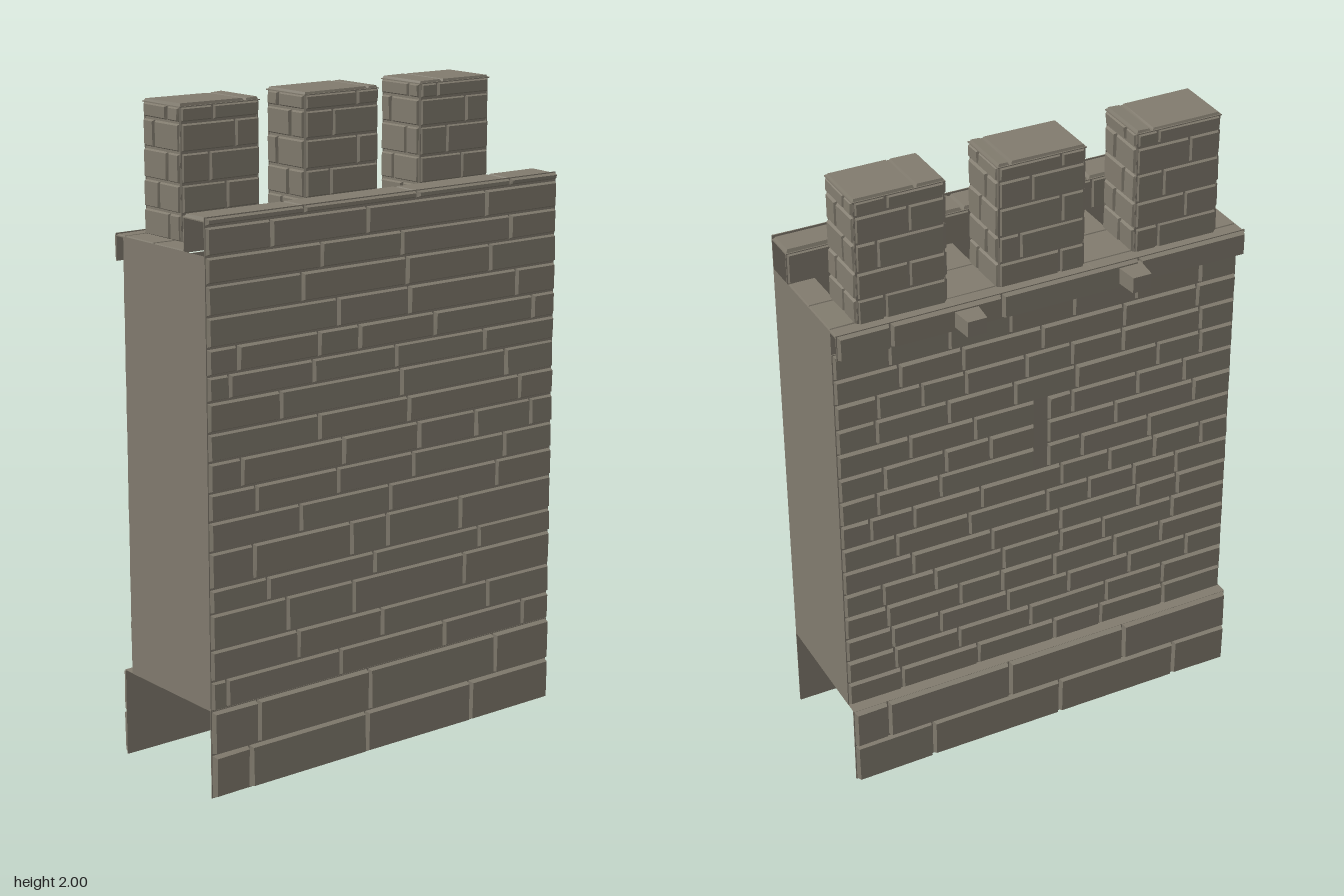
import * as THREE from 'three';
import { mergeGeometries } from 'three/addons/utils/BufferGeometryUtils.js';

const W = 0.664; // half width of the wall
const SLIT = 0.021; // half width of the arrow slit

export function createModel() {
  const stone = new THREE.MeshStandardMaterial({ color: 0x817b6e });
  stone.name = 'stone';
  const model = new THREE.Group();
  model.name = 'castleWall';

  let seed = 7;
  const rand = () => (seed = (seed * 16807) % 2147483647) / 2147483647;

  // One bevelled brick lying on the local XY plane, its face slightly uneven
  function brick(x0, x1, y0, y1, depth) {
    const gap = 0.004, bevel = Math.min(0.006, depth * 0.5);
    const g = new THREE.BoxGeometry(x1 - x0 - gap, y1 - y0 - gap, depth).translate(0, 0, depth / 2);
    const p = g.attributes.position;
    const tiltX = (rand() - 0.5) * 0.2 * depth, tiltY = (rand() - 0.5) * 0.2 * depth;
    for (let i = 0; i < p.count; i++) {
      if (p.getZ(i) < depth / 2) continue;
      const sx = Math.sign(p.getX(i)), sy = Math.sign(p.getY(i));
      p.setXYZ(i, p.getX(i) - sx * bevel, p.getY(i) - sy * bevel, depth + sx * tiltX + sy * tiltY);
    }
    g.translate((x0 + x1) / 2, (y0 + y1) / 2, 0);
    const flat = g.toNonIndexed();
    flat.computeVertexNormals();
    return flat;
  }

  // One-sided rectangle on the local XY plane
  function sheet(parent, name, x0, x1, y0, y1, z = 0) {
    const m = new THREE.Mesh(new THREE.PlaneGeometry(x1 - x0, y1 - y0), stone);
    m.position.set((x0 + x1) / 2, (y0 + y1) / 2, z);
    m.name = name;
    parent.add(m);
    return m;
  }

  // Rows of bricks on a thin bed; each row is [y0, y1, vertical edges]
  function panel(parent, name, rows, depth = 0.015) {
    const g = new THREE.Group();
    g.name = name;
    parent.add(g);
    const xs0 = rows[0][2], bed = 0.003;
    const x0 = xs0[0], x1 = xs0[xs0.length - 1];
    const y0 = rows[0][0], y1 = rows[rows.length - 1][1];
    const geos = [new THREE.BoxGeometry(x1 - x0, y1 - y0, bed)
      .translate((x0 + x1) / 2, (y0 + y1) / 2, bed / 2).toNonIndexed()];
    for (const [b, t, xs] of rows) {
      for (let i = 0; i < xs.length - 1; i++) {
        if (xs[i] === -SLIT && xs[i + 1] === SLIT) continue;
        geos.push(brick(xs[i], xs[i + 1], b, t, depth));
      }
    }
    const m = new THREE.Mesh(mergeGeometries(geos), stone);
    m.name = name + 'Bricks';
    g.add(m);
    return g;
  }

  const span = (joints) => [-W, ...joints, W];
  const faceBack = (o, z) => { o.rotation.y = Math.PI; o.position.z = z; };
  const faceUp = (o, y) => { o.rotation.x = -Math.PI / 2; o.position.y = y; };

  // Front face: two plinth courses, then the wall up to the parapet
  const ys = [0, 0.135, 0.27, 0.36, 0.455, 0.565, 0.64, 0.75, 0.84, 0.925, 1.015, 1.1,
    1.19, 1.265, 1.345, 1.435, 1.525, 1.605, 1.69, 1.716];
  const joints = [
    [-0.53, -0.09, 0.33], [-0.5, -0.08, 0.43], [-0.61, -0.19, 0.22, 0.55], [-0.35, -0.03, 0.4],
    [-0.39, -0.14, 0.3], [-0.46, -0.06, 0.36], [-0.51, -0.15, -0.01, 0.28], [-0.34, 0, 0.43],
    [-0.5, -0.2, 0.09, 0.46], [-0.55, -0.18, 0.11, 0.34, 0.57], [-0.27, 0.07, 0.52],
    [-0.41, 0.04, 0.46], [-0.59, -0.29, 0.02, 0.37], [-0.56, -0.27, -0.12, 0.17, 0.57],
    [-0.2, 0.07, 0.5], [-0.33, 0.06, 0.39], [-0.26, 0.04, 0.47], [-0.44, -0.09, 0.37],
    [-0.32, 0.1, 0.47],
  ];
  const rows = joints.map((j, i) => [ys[i], ys[i + 1], span(j)]);
  panel(model, 'frontPlinth', rows.slice(0, 2), 0.02).position.z = 0.248;
  panel(model, 'frontWall', rows.slice(2)).position.z = 0.247;
  const inner = new THREE.Group();
  inner.name = 'frontWallInside';
  sheet(inner, 'insideFace', -W, W, 0, 1.705);
  faceBack(inner, 0.244);
  model.add(inner);

  // Smooth end faces
  for (const s of [-1, 1]) {
    const end = new THREE.Group();
    end.name = s > 0 ? 'leftEnd' : 'rightEnd';
    end.rotation.y = s * Math.PI / 2;
    end.position.x = s * W;
    sheet(end, 'endFace', s > 0 ? -0.25 : -0.152, s > 0 ? 0.152 : 0.25, 0.27, 1.607);
    model.add(end);
  }

  // Back face: smaller bricks with an arrow slit in the middle
  const backRows = [];
  for (let r = 0; r < 15; r++) {
    const xs = [-W];
    let x = -W + 0.08 + rand() * 0.16;
    while (x < W - 0.06) { xs.push(x); x += 0.14 + rand() * 0.14; }
    xs.push(W);
    const slit = r >= 8 && r <= 10;
    const edges = slit
      ? [...xs.filter((v) => v < -0.08), -SLIT, SLIT, ...xs.filter((v) => v > 0.08)] : xs;
    backRows.push([0.27 + r * 0.084, 0.27 + (r + 1) * 0.084, edges]);
  }
  const back = panel(model, 'backWall', backRows);
  sheet(back, 'arrowSlit', -SLIT, SLIT, 0.942, 1.194, 0.007);
  faceBack(back, -0.15);

  // Back plinth with its top shelf
  faceBack(panel(model, 'backPlinth', [
    [0, 0.135, span([-0.4, 0.05, 0.47])], [0.135, 0.27, span([-0.55, -0.13, 0.28])]], 0.02), -0.188);
  sheet(model, 'backPlinthInside', -W, W, 0, 0.268, -0.186);
  const shelf = sheet(model, 'plinthShelf', -W, W, 0, 0.045);
  faceUp(shelf, 0.271);
  shelf.position.z = -0.172;

  // Projecting band at the top of the back, with its underside
  faceBack(panel(model, 'backBand', [[1.53, 1.612, span([-0.5, -0.15, 0.3])]], 0.018), -0.188);
  const under = sheet(model, 'bandUnderside', -W, W, 0, 0.04);
  under.rotation.x = Math.PI / 2;
  under.position.set(0, 1.53, -0.17);

  // Two tapered brackets
  for (const x of [-0.267, 0.267]) {
    const g = new THREE.BoxGeometry(0.078, 0.05, 0.085);
    const p = g.attributes.position;
    for (let i = 0; i < p.count; i++) if (p.getZ(i) < 0) p.setX(i, p.getX(i) * 0.78);
    const m = new THREE.Mesh(g.toNonIndexed(), stone);
    m.geometry.computeVertexNormals();
    m.name = 'bracket';
    m.position.set(x, 1.575, -0.2325);
    model.add(m);
  }

  // Walkway: rear strip and slabs between the open pockets
  faceUp(panel(model, 'walkwayEdge', [[0.145, 0.192, span([-0.5, -0.15, 0.3])]], 0.006), 1.603);
  for (const [x0, x1] of [[-W, -0.583], [-0.31, -0.138], [0.138, 0.305], [0.58, W]]) {
    faceUp(panel(model, 'walkwaySlab',
      [[-0.145, 0, [x0, x1]], [0, 0.145, [x0, x1]]], 0.006), 1.603);
  }

  // Parapet: inner face and capstones
  faceBack(panel(model, 'parapetInside', [[1.603, 1.705, span([-0.45, -0.08, 0.33])]], 0.01), 0.152);
  faceUp(panel(model, 'parapetCap', [[-0.249, -0.146, span([-0.32, 0.1, 0.47])]], 0.012), 1.702);

  // Three merlons, bricked on four sides and topped by two slabs
  const my = [1.603, 1.685, 1.77, 1.86, 1.945, 1.992];
  const mx = 0.133, mz = 0.085;
  [[-0.445, 0.09], [0, 0.1], [0.443, -0.05]].forEach(([x, seam], k) => {
    const merlon = new THREE.Group();
    merlon.name = 'merlon';
    merlon.position.set(x, 0, -0.064);
    model.add(merlon);
    for (let side = 0; side < 4; side++) {
      const half = side % 2 ? mz : mx, out = side % 2 ? mx : mz;
      const e = half + 0.005;
      const face = panel(merlon, 'merlonSide', my.slice(0, 5).map((y, r) => {
        const c = ((r + side + k) % 2 ? 0.3 : -0.35) * half + (rand() - 0.5) * 0.4 * half;
        return [y, my[r + 1], [-e, c, e]];
      }), 0.011);
      face.rotation.y = side * Math.PI / 2;
      face.position.set(Math.sin(side * Math.PI / 2) * out, 0, Math.cos(side * Math.PI / 2) * out);
    }
    faceUp(panel(merlon, 'merlonTop', [[-mz - 0.008, mz + 0.008, [-mx - 0.008, seam, mx + 0.008]]],
      0.01), 1.989);
  });
  return model;
}
